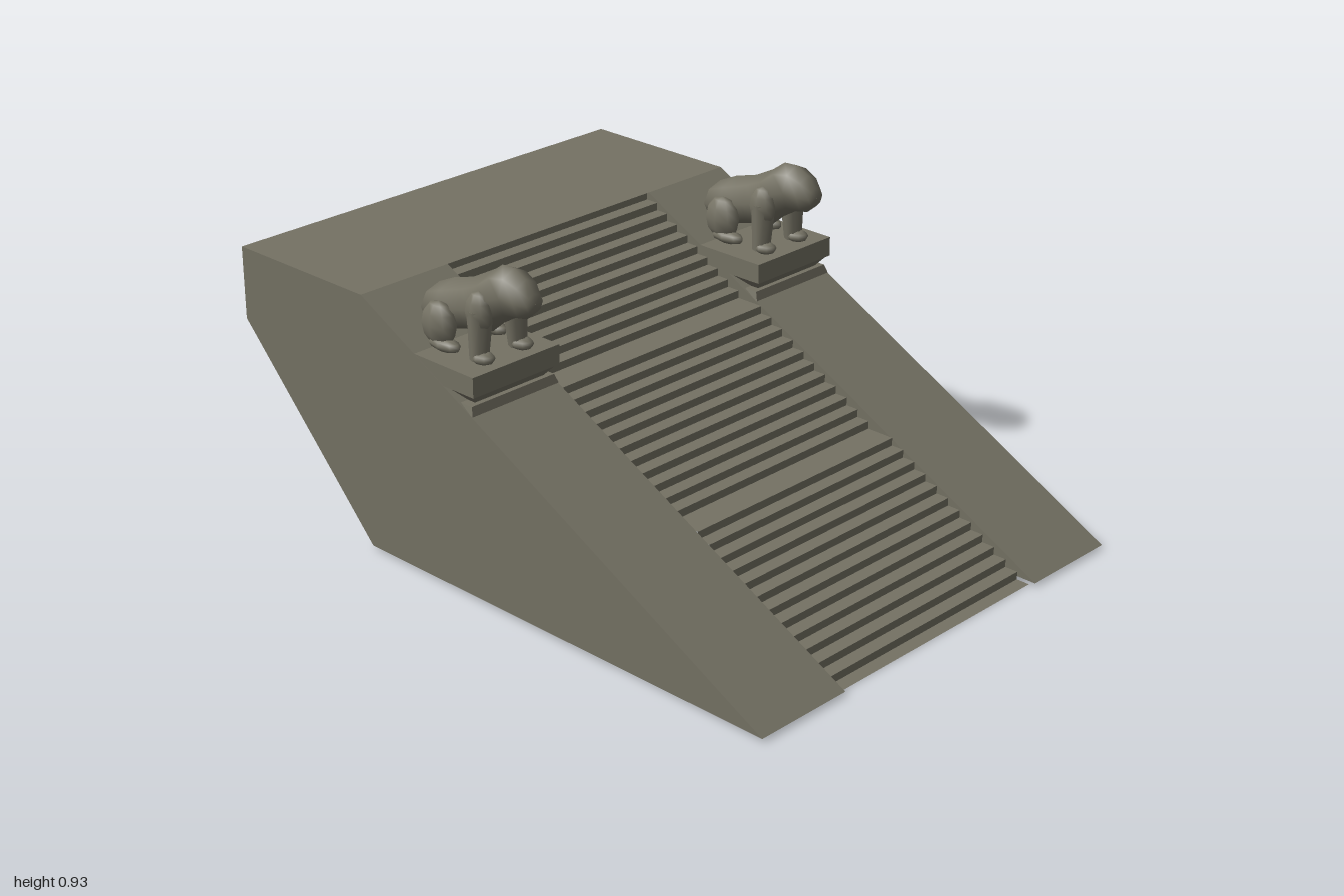
import * as THREE from 'three';

const stone = new THREE.MeshStandardMaterial({ color: 0x757264, side: THREE.DoubleSide });
stone.name = 'weathered stone';

const WALL_X = 0.715, STAIR_X = 0.4, TOP_Y = 0.775, FOOT_Y = 0.01, CREST_Z = -0.48;

function add(parent, name, geometry) {
  const mesh = new THREE.Mesh(geometry, stone);
  mesh.name = name;
  parent.add(mesh);
  return mesh;
}

// Flat convex sheets, each given by its corners
function sheets(polygons) {
  const pos = [];
  for (const p of polygons)
    for (let i = 1; i < p.length - 1; i++) pos.push(...p[0], ...p[i], ...p[i + 1]);
  const g = new THREE.BufferGeometry();
  g.setAttribute('position', new THREE.Float32BufferAttribute(pos, 3));
  g.computeVertexNormals();
  return g;
}

// Smooth loft along z through elliptical rings [z, centreY, radiusX, radiusY]
function loft(rings, sides = 8) {
  const pos = [], index = [];
  for (const [z, cy, rx, ry] of rings)
    for (let j = 0; j < sides; j++) {
      const a = (j / sides) * Math.PI * 2 + Math.PI / 2;
      pos.push(Math.cos(a) * rx, cy + Math.sin(a) * ry, z);
    }
  for (let i = 0; i < rings.length - 1; i++)
    for (let j = 0; j < sides; j++) {
      const k = (j + 1) % sides;
      const a = i * sides + j, b = i * sides + k, c = b + sides, d = a + sides;
      index.push(a, b, c, a, c, d);
    }
  const g = new THREE.BufferGeometry();
  g.setAttribute('position', new THREE.Float32BufferAttribute(pos, 3));
  g.setIndex(index);
  g.computeVertexNormals();
  return g;
}

function ellipsoid(x, y, z, rx, ry, rz) {
  return new THREE.SphereGeometry(1, 8, 6).scale(rx, ry, rz).translate(x, y, z);
}

function limb(from, to, r0, r1) {
  const a = new THREE.Vector3(...from), b = new THREE.Vector3(...to);
  const d = b.clone().sub(a);
  const g = new THREE.CylinderGeometry(r1, r0, d.length(), 8);
  g.applyQuaternion(new THREE.Quaternion().setFromUnitVectors(new THREE.Vector3(0, 1, 0), d.normalize()));
  return g.translate(...a.add(b).multiplyScalar(0.5).toArray());
}

// Rectangular block tapering from a bottom to a top half-size [x, z]
function taperedBlock(y0, y1, bottom, top) {
  const g = new THREE.BoxGeometry(2, y1 - y0, 2).toNonIndexed();
  const p = g.attributes.position;
  for (let i = 0; i < p.count; i++) {
    const [hx, hz] = p.getY(i) > 0 ? top : bottom;
    p.setX(i, p.getX(i) * hx);
    p.setZ(i, p.getZ(i) * hz);
  }
  g.computeVertexNormals();
  return g.translate(0, (y0 + y1) / 2, 0);
}

// Stepped surface: three flights parted by two deeper landings
function staircase() {
  const tread = 0.0415, landing = 0.09, rise = TOP_Y / 33, steps = [];
  let z = 0.98, y = 0;
  const strip = (z0, y0, z1, y1) => steps.push([
    [-STAIR_X, y0, z0], [STAIR_X, y0, z0], [STAIR_X, y1, z1], [-STAIR_X, y1, z1]]);
  for (let i = 0; i < 33; i++) {
    const depth = i === 12 || i === 23 ? landing : tread;
    strip(z, y, z - depth, y);
    z -= depth;
    strip(z, y, z, y + rise);
    y += rise;
  }
  return sheets(steps);
}

function seatedAnimal() {
  const animal = new THREE.Group();
  animal.name = 'guardianAnimal';
  // Rump, back, shoulders, head and muzzle in one loft
  add(animal, 'bodyAndHead', loft([
    [-0.357, 0.73, 0.001, 0.001], [-0.355, 0.73, 0.035, 0.03], [-0.335, 0.755, 0.07, 0.055],
    [-0.27, 0.765, 0.085, 0.075], [-0.19, 0.787, 0.066, 0.076], [-0.125, 0.81, 0.082, 0.086],
    [-0.08, 0.845, 0.072, 0.083], [-0.035, 0.86, 0.06, 0.071], [0.01, 0.854, 0.05, 0.056],
    [0.04, 0.85, 0.03, 0.028], [0.045, 0.85, 0.001, 0.001]]));
  for (const s of [-1, 1]) {
    add(animal, 'shoulder', ellipsoid(s * 0.065, 0.805, -0.105, 0.032, 0.06, 0.045));
    add(animal, 'frontLeg', limb([s * 0.07, 0.67, -0.105], [s * 0.062, 0.81, -0.105], 0.026, 0.036));
    add(animal, 'frontPaw', ellipsoid(s * 0.07, 0.68, -0.09, 0.03, 0.018, 0.038));
    add(animal, 'thigh', ellipsoid(s * 0.08, 0.735, -0.25, 0.036, 0.066, 0.062));
    add(animal, 'hindPaw', ellipsoid(s * 0.085, 0.684, -0.225, 0.028, 0.02, 0.06));
  }
  return animal;
}

function pedestal() {
  const g = new THREE.Group();
  g.name = 'pedestal';
  add(g, 'slab', taperedBlock(0.606, 0.665, [0.157, 0.12], [0.157, 0.12]));
  add(g, 'taperedNeck', taperedBlock(0.575, 0.606, [0.125, 0.09], [0.152, 0.115]));
  add(g, 'footMoulding', taperedBlock(0.55, 0.575, [0.157, 0.115], [0.15, 0.105]));
  g.position.z = -0.155;
  return g;
}

export function createModel() {
  const model = new THREE.Group();
  model.name = 'monumentalStairway';

  add(model, 'stairs', staircase());

  // Upper platform and back band
  add(model, 'platform', sheets([
    [[-WALL_X, TOP_Y, CREST_Z], [WALL_X, TOP_Y, CREST_Z], [WALL_X, TOP_Y, -1], [-WALL_X, TOP_Y, -1]],
    [[WALL_X, TOP_Y, -1], [WALL_X, 0.555, -1], [-WALL_X, 0.555, -1], [-WALL_X, TOP_Y, -1]]]));

  for (const s of [-1, 1]) {
    const o = s * WALL_X, i = s * STAIR_X;
    // Outer wall, sloping ramp and inner wall; open underneath
    const outer = [[1, FOOT_Y], [CREST_Z, FOOT_Y], [-1, 0.555], [-1, TOP_Y], [CREST_Z, TOP_Y]]
      .map(([z, y]) => [o, y, z]);
    const ramp = [[i, FOOT_Y, 1], [o, FOOT_Y, 1], [o, TOP_Y, CREST_Z], [i, TOP_Y, CREST_Z]];
    const inner = [[i, FOOT_Y, 1], [i, TOP_Y, CREST_Z], [i, FOOT_Y, CREST_Z]];
    if (s < 0) { outer.reverse(); ramp.reverse(); inner.reverse(); }
    add(model, 'outerWall', sheets([outer]));
    add(model, 'ramp', sheets([ramp]));
    add(model, 'innerWall', sheets([inner]));

    const statue = new THREE.Group();
    statue.name = s > 0 ? 'leftStatue' : 'rightStatue';
    statue.add(pedestal(), seatedAnimal());
    statue.position.x = s * 0.557;
    model.add(statue);
  }
  return model;
}
